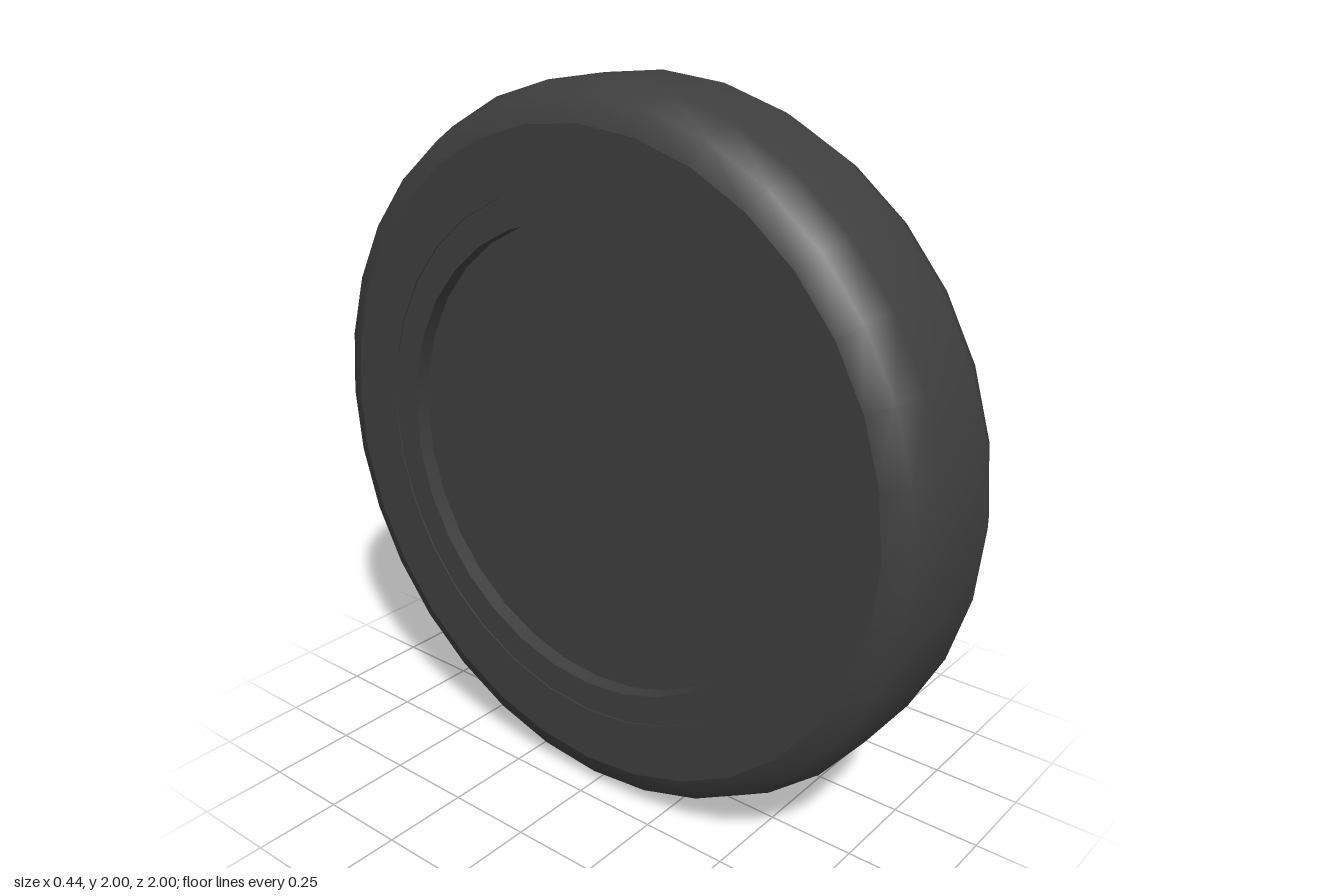
import * as THREE from 'three';

const rubber = new THREE.MeshStandardMaterial({ name: 'dark rubber', color: 0x3e3e3e });
const silver = new THREE.MeshStandardMaterial({ name: 'silver alloy', color: 0xc3c5c9 });
const steel = new THREE.MeshStandardMaterial({ name: 'brake steel', color: 0x909090 });

// The wheel axle runs along x; profiles are [radius, x] pairs.
function turned(name, profile, material, segments = 32) {
  const geometry = new THREE.LatheGeometry(profile.map(([r, x]) => new THREE.Vector2(r, x)), segments);
  geometry.rotateZ(-Math.PI / 2);
  const mesh = new THREE.Mesh(geometry, material);
  mesh.name = name;
  return mesh;
}

function disc(name, radius, back, front, material) {
  const geometry = new THREE.CylinderGeometry(radius, radius, front - back, 32);
  geometry.rotateZ(-Math.PI / 2);
  geometry.translate((front + back) / 2, 0, 0);
  const mesh = new THREE.Mesh(geometry, material);
  mesh.name = name;
  return mesh;
}

// Chamfered bar pointing up, widest at its back
function spokeGeometry() {
  const section = new THREE.Shape([
    [-0.026, 0.13], [-0.026, 0.165], [-0.016, 0.18],
    [0.016, 0.18], [0.026, 0.165], [0.026, 0.13],
  ].map(([z, x]) => new THREE.Vector2(x, z)));
  const geometry = new THREE.ExtrudeGeometry(section, { depth: 0.535, bevelEnabled: false });
  geometry.rotateX(-Math.PI / 2);
  geometry.translate(0, 0.11, 0);
  return geometry;
}

export function createModel() {
  const model = new THREE.Group();
  model.name = 'wheel';
  const wheel = new THREE.Group();
  wheel.name = 'wheelAssembly';
  wheel.position.y = 1;
  model.add(wheel);

  // Tyre: rounded tread, flat sidewalls and a bead ring on each side
  wheel.add(
    turned('tread', [[0.9, -0.22], [0.965, -0.19], [1, -0.11], [1, 0.11], [0.965, 0.19], [0.9, 0.22]], rubber),
    turned('outerSidewall', [[0.9, 0.22], [0.74, 0.22]], rubber),
    turned('innerSidewall', [[0.74, -0.22], [0.9, -0.22]], rubber),
    turned('outerBeadStep', [[0.74, 0.22], [0.74, 0.216]], rubber),
    turned('innerBeadStep', [[0.74, -0.216], [0.74, -0.22]], rubber),
    turned('outerBead', [[0.74, 0.216], [0.655, 0.216]], rubber),
    turned('innerBead', [[0.655, -0.216], [0.74, -0.216]], rubber),
    turned('barrel', [[0.655, 0.216], [0.655, -0.216]], rubber),
    disc('backPlate', 0.655, -0.17, -0.14, rubber),
  );

  // Rim: lip wall, front ring and inner edge
  wheel.add(
    turned('rimLip', [[0.652, 0.212], [0.652, 0.15]], silver),
    turned('rimFace', [[0.652, 0.15], [0.62, 0.15]], silver),
    turned('rimInnerWall', [[0.62, 0.15], [0.62, 0.1]], silver),
    turned('rimBack', [[0.62, 0.1], [0.652, 0.1]], silver),
  );

  // Brake behind the spokes
  wheel.add(
    disc('brakeDisc', 0.555, -0.1, -0.05, steel),
    disc('brakeHub', 0.25, -0.06, 0, rubber),
  );

  // Hub, centre cap and sixteen spokes
  wheel.add(
    disc('hub', 0.15, 0, 0.19, silver),
    disc('centreCap', 0.077, 0.18, 0.215, silver),
  );
  const geometry = spokeGeometry();
  for (let i = 0; i < 16; i++) {
    const spoke = new THREE.Mesh(geometry, silver);
    spoke.name = 'spoke';
    spoke.rotation.x = (i / 16) * Math.PI * 2;
    wheel.add(spoke);
  }
  return model;
}
